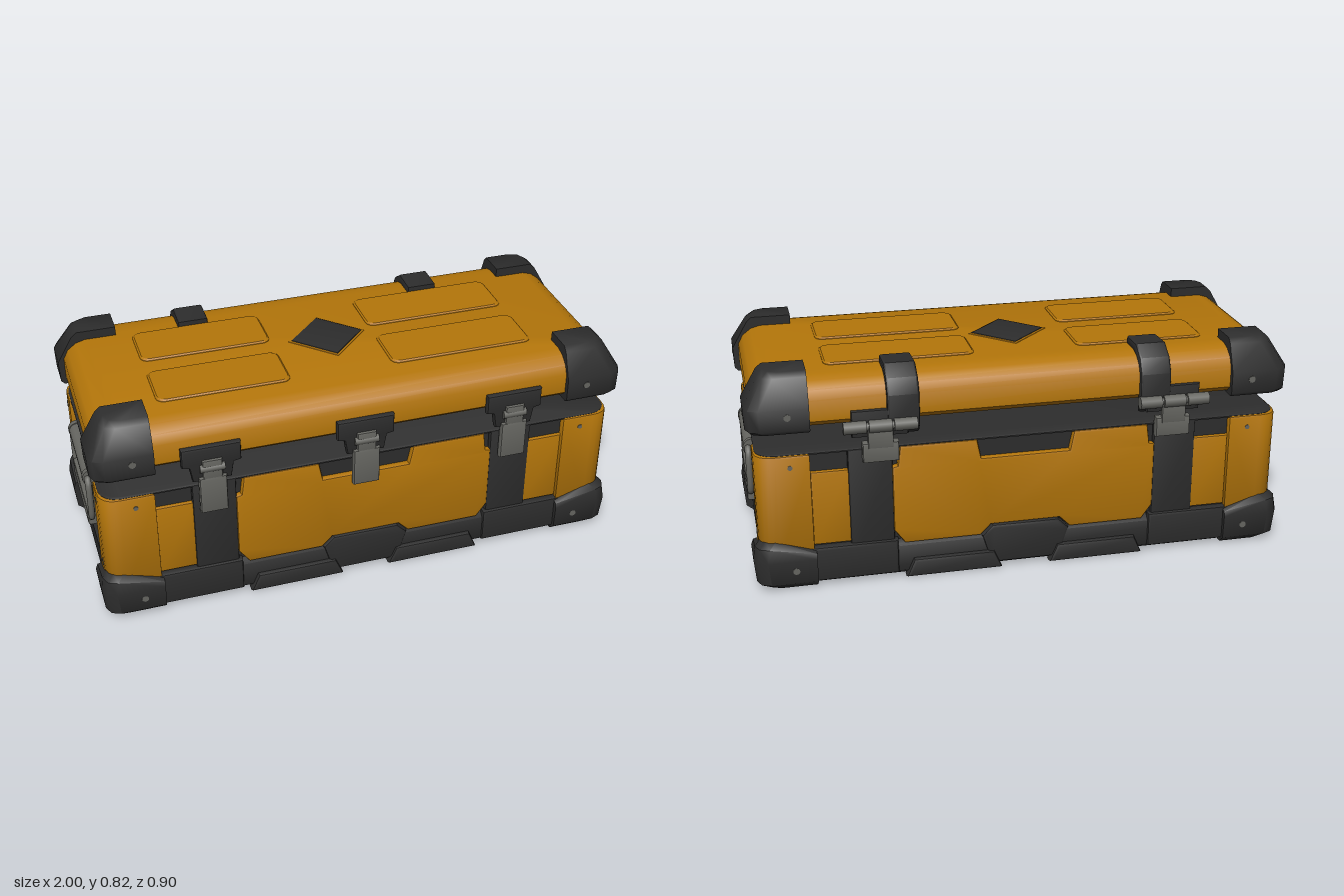
import * as THREE from 'three';
import { toCreasedNormals } from 'three/addons/utils/BufferGeometryUtils.js';

const material = (name, color) => {
  const m = new THREE.MeshStandardMaterial({ color });
  m.name = name;
  return m;
};

// Closed solid through rings of [x, y, z] points (first and last ring are capped)
function loft(rings, crease = 0.6) {
  const n = rings[0].length, idx = [];
  rings.slice(1).forEach((_, k) => {
    for (let i = 0; i < n; i++) {
      const a = k * n + i, b = k * n + (i + 1) % n;
      idx.push(a, a + n, b, b, a + n, b + n);
    }
  });
  const top = (rings.length - 1) * n;
  for (let i = 1; i < n - 1; i++) idx.push(0, i, i + 1, top, top + i + 1, top + i);
  const g = new THREE.BufferGeometry();
  g.setAttribute('position', new THREE.Float32BufferAttribute(rings.flat(2), 3));
  g.setIndex(idx);
  return toCreasedNormals(g, crease);
}

// Horizontal rounded rectangle ring
function roundRect(y, hx, hz, r, seg = 4) {
  const pts = [];
  [[-1, -1, 2], [1, -1, 3], [1, 1, 0], [-1, 1, 1]].forEach(([sx, sz, q]) => {
    for (let i = 0; i <= seg; i++) {
      const a = (q + i / seg) * Math.PI / 2;
      pts.push([sx * (hx - r) + r * Math.cos(a), y, sz * (hz - r) + r * Math.sin(a)]);
    }
  });
  return pts;
}

// Bevelled slab of a 2D outline, lying from z = 0 to z = depth
function slab(pts, depth, bevel = 0.008) {
  const shape = pts instanceof THREE.Shape ? pts : new THREE.Shape(pts.map(p => new THREE.Vector2(...p)));
  const g = new THREE.ExtrudeGeometry(shape, {
    depth: depth - 2 * bevel, bevelEnabled: true, bevelSize: bevel, bevelThickness: bevel,
    bevelOffset: -bevel, bevelSegments: 2, curveSegments: 6 });
  return toCreasedNormals(g.translate(0, 0, bevel), 0.6);
}
const rect = (x0, y0, x1, y1) => [[x0, y0], [x1, y0], [x1, y1], [x0, y1]];

// Outline given as [z, y], extruded along x around cx
const profile = (pts, width, cx) => slab(pts, width).rotateY(-Math.PI / 2).translate(cx + width / 2, 0, 0);

// Mirrored copy with the winding kept outward
function mirror(geo, sx, sz) {
  const g = geo.clone().scale(sx, 1, sz);
  if (sx * sz < 0) for (const a of Object.values(g.attributes)) {
    const s = a.itemSize;
    for (let i = 0; i < a.count; i += 3) for (let k = 0; k < s; k++) {
      const p = (i + 1) * s + k, t = a.array[p];
      a.array[p] = a.array[p + s];
      a.array[p + s] = t;
    }
  }
  return g;
}

// Corner guard ring: fixed inner edge, rounded outer corner
const guardRing = (y, x1, z1, c, yIn = y) => [
  [0.773, yIn, 0.262], [x1, yIn, 0.262], [x1, y, z1 - c], [x1 - c * 0.3, y, z1 - c * 0.3],
  [x1 - c, y, z1], [0.773, yIn, z1]];

export function createModel() {
  const root = new THREE.Group();
  root.name = 'storageCase';
  const yellow = material('yellowShell', 0xb4760a);
  const dark = material('darkRubber', 0x2d2d2d);
  const metal = material('greyMetal', 0x666661);
  const add = (name, geo, mat, parent = root) => {
    const m = new THREE.Mesh(geo, mat);
    m.name = name;
    parent.add(m);
    return m;
  };
  const corners = [[1, 1], [-1, 1], [-1, -1], [1, -1]];

  // Closed body, its dark top deck and the base skirt
  add('body', loft([roundRect(0.03, 0.935, 0.388, 0.05), roundRect(0.51, 0.935, 0.388, 0.05)]), dark);
  add('topDeck', loft([roundRect(0.516, 0.968, 0.407, 0.07), roundRect(0.521, 0.968, 0.407, 0.07),
    roundRect(0.525, 0.96, 0.40, 0.07)]), dark);
  add('base', loft([roundRect(0.008, 0.945, 0.39, 0.05), roundRect(0.025, 0.965, 0.41, 0.05),
    roundRect(0.125, 0.965, 0.41, 0.05), roundRect(0.145, 0.935, 0.388, 0.05)], 0.9), dark);

  // Lid shell with a dark lining underneath
  add('lid', loft([roundRect(0.618, 0.945, 0.385, 0.05), roundRect(0.640, 0.975, 0.41, 0.05),
    roundRect(0.715, 0.975, 0.41, 0.05), roundRect(0.75, 0.957, 0.392, 0.05),
    roundRect(0.774, 0.925, 0.36, 0.05), roundRect(0.784, 0.89, 0.325, 0.05)]), yellow);
  add('lidLining', loft([roundRect(0.613, 0.90, 0.34, 0.04), roundRect(0.62, 0.90, 0.34, 0.04)]), dark);

  // Raised lid panels and centre diamond
  for (const [x0, x1] of [[-0.72, -0.23], [0.15, 0.70]]) for (const z of [-0.14, 0.145]) {
    const w = (x1 - x0) / 2;
    const ring = (y, d) => roundRect(y, w - d, 0.105 - d, 0.03);
    add('lidPanel', loft([ring(0.775, 0), ring(0.786, 0.001), ring(0.791, 0.007)], 0.2)
      .translate((x0 + x1) / 2, 0, z), yellow);
  }
  const diamond = s => slab([[-s, 0], [0, -s], [s, 0], [0, s]], 0.02, 0.004).rotateX(-Math.PI / 2);
  add('diamondRim', diamond(0.15).translate(-0.02, 0.767, -0.015), yellow);
  add('diamondPlate', diamond(0.138).translate(-0.02, 0.77, -0.015), dark);

  // Corner guards, yellow corner posts and rivets
  const upperGuard = loft([guardRing(0.607, 0.982, 0.42, 0.05), guardRing(0.62, 0.995, 0.43, 0.05),
    guardRing(0.70, 0.998, 0.43, 0.05), guardRing(0.80, 0.94, 0.388, 0.05),
    guardRing(0.818, 0.92, 0.37, 0.05)], 0.8);
  const lowerGuard = loft([guardRing(0.002, 0.955, 0.405, 0.05), guardRing(0.03, 0.99, 0.435, 0.05),
    guardRing(0.12, 0.998, 0.44, 0.05), guardRing(0.172, 0.99, 0.435, 0.05, 0.14),
    guardRing(0.193, 0.965, 0.41, 0.05, 0.148)], 0.8);
  const postShape = new THREE.Shape();
  postShape.moveTo(0.78, 0.415).lineTo(0.78, 0.37).lineTo(0.91, 0.37).lineTo(0.91, 0.268)
    .lineTo(0.975, 0.268).lineTo(0.975, 0.34).quadraticCurveTo(0.975, 0.415, 0.90, 0.415).lineTo(0.78, 0.415);
  const post = slab(postShape, 0.40).rotateX(Math.PI / 2).translate(0, 0.52, 0);
  const rivet = (r, h) => new THREE.CylinderGeometry(r, r, h, 10);
  const guardRivet = rivet(0.013, 0.01).rotateX(Math.PI / 2), postRivet = rivet(0.009, 0.01).rotateX(Math.PI / 2);
  const endRivet = rivet(0.014, 0.008).rotateZ(Math.PI / 2);
  for (const [sx, sz] of corners) {
    add('upperCornerGuard', mirror(upperGuard, sx, sz), dark);
    add('lowerCornerGuard', mirror(lowerGuard, sx, sz), dark);
    add('cornerPost', mirror(post, sx, sz), yellow);
    for (const [y, z, geo] of [[0.08, 0.434, guardRivet], [0.67, 0.427, guardRivet], [0.475, 0.412, postRivet]])
      add('faceRivet', geo, metal).position.set(sx * 0.85, y, sz * z);
    for (const [y, x] of [[0.67, 0.995], [0.475, 0.973], [0.2, 0.973]])
      add('endRivet', endRivet, metal).position.set(sx * x, y, sz * 0.328);
  }

  // Front and back cladding
  const half = [[0.13, 0.175], [0.17, 0.135], [0.45, 0.135], [0.49, 0.19], [0.49, 0.44], [0.47, 0.445],
    [0.46, 0.52], [0.18, 0.52], [0.165, 0.445]];
  const panel = [...half, ...half.map(([x, y]) => [-x, y]).reverse()];
  for (const side of [1, -1]) {
    const face = new THREE.Group();
    face.name = side > 0 ? 'frontFace' : 'backFace';
    face.rotation.y = side > 0 ? 0 : Math.PI;
    root.add(face);
    add('centrePanel', slab(panel, 0.04, 0.01).translate(0, 0, 0.372), yellow, face);
    for (const s of [-1, 1]) {
      add('sidePanel', slab(rect(-0.07, 0.16, 0.07, 0.445), 0.03).translate(s * 0.71, 0, 0.373), yellow, face);
      add('bodyStrap', slab(rect(-0.08, 0.07, 0.08, 0.52), 0.03).translate(s * 0.567, 0, 0.378), dark, face);
      add('skirtStep', slab([[-0.18, 0], [0.18, 0], [0.15, 0.07], [-0.15, 0.07]], 0.05, 0.012)
        .translate(s * 0.27, 0.002, 0.378), dark, face);
      add('skirtBlock', slab([[-0.16, 0.02], [0.16, 0.02], [0.16, 0.155], [-0.16, 0.155]], 0.04, 0.012)
        .translate(s * 0.635, 0, 0.38), dark, face);
    }
    add('skirtBlockCentre', slab([[-0.13, 0.02], [0.13, 0.02], [0.165, 0.135], [0.125, 0.175],
      [-0.125, 0.175], [-0.165, 0.135]], 0.04, 0.012).translate(0, 0, 0.378), dark, face);
  }

  // Front latches
  for (const x of [-0.575, -0.01, 0.563]) {
    const latch = new THREE.Group();
    latch.name = 'latch';
    latch.position.x = x;
    root.add(latch);
    add('latchBracket', slab([[-0.07, 0.55], [0.07, 0.55], [0.08, 0.61], [0.107, 0.615], [0.107, 0.69],
      [-0.107, 0.69], [-0.107, 0.615], [-0.08, 0.61]], 0.035, 0.01).translate(0, 0, 0.397), dark, latch);
    add('latchTab', slab(rect(-0.05, 0.42, 0.05, 0.57), 0.034, 0.01).translate(0, 0, 0.412), metal, latch);
    add('latchLink', slab(rect(-0.036, 0.55, 0.036, 0.64), 0.03, 0.008).translate(0, 0, 0.413), metal, latch);
    add('latchPin', new THREE.CylinderGeometry(0.017, 0.017, 0.09, 10).rotateZ(Math.PI / 2)
      .translate(0, 0.605, 0.43), metal, latch);
  }

  // Back hinges and the straps that wrap over the lid
  const strap = [[-0.24, 0.775], [-0.24, 0.808], [-0.345, 0.812], [-0.40, 0.775], [-0.428, 0.72],
    [-0.428, 0.60], [-0.405, 0.57], [-0.395, 0.57], [-0.395, 0.72], [-0.33, 0.775]];
  for (const [strapX, x] of [[-0.48, -0.55], [0.445, 0.53]]) {
    add('lidStrap', profile(strap, 0.115, strapX), dark);
    add('hingeBracket', slab(rect(-0.1, 0.57, 0.1, 0.67), 0.03).translate(x, 0, -0.425), dark);
    for (const dx of [-0.09, 0, 0.09])
      add('hingeBarrel', new THREE.CylinderGeometry(0.023, 0.023, 0.082, 12).rotateZ(Math.PI / 2)
        .translate(x + dx, 0.613, -0.43), metal);
    add('hingePin', new THREE.CylinderGeometry(0.014, 0.014, 0.26, 10).rotateZ(Math.PI / 2)
      .translate(x, 0.613, -0.43), metal);
    add('hingeLink', slab(rect(-0.045, 0.53, 0.045, 0.61), 0.022, 0.005).translate(x, 0, -0.438), metal);
    add('hingePlate', slab(rect(-0.065, 0.475, 0.065, 0.55), 0.04, 0.008).translate(x, 0, -0.435), metal);
  }

  // Carry handles on both ends
  const V = (y, z) => new THREE.Vector3(0.982, y, z);
  for (const s of [1, -1]) {
    const end = new THREE.Group();
    end.name = s > 0 ? 'leftEnd' : 'rightEnd';
    end.rotation.y = s > 0 ? 0 : Math.PI;
    root.add(end);
    const plate = [[-0.19, 0.232], [0.20, 0.232], [0.235, 0.26], [0.215, 0.47], [0.19, 0.50],
      [-0.17, 0.50], [-0.20, 0.47], [-0.225, 0.26]];
    add('handlePlate', profile(plate, 0.04, 0.937), dark, end);
    add('handlePivot', new THREE.CylinderGeometry(0.03, 0.03, 0.33, 14).rotateX(Math.PI / 2)
      .translate(0.968, 0.463, 0), metal, end);
    add('handleGrip', profile(rect(-0.17, 0.255, 0.17, 0.325), 0.04, 0.976), metal, end);
    for (const d of [1, -1]) {
      const path = new THREE.CatmullRomCurve3([V(0.465, d * 0.15), V(0.462, d * 0.175), V(0.44, d * 0.19),
        V(0.32, d * 0.192), V(0.295, d * 0.18), V(0.288, d * 0.15)]);
      add('handleArm', new THREE.TubeGeometry(path, 24, 0.012, 8), metal, end);
      add('handleCollar', new THREE.CylinderGeometry(0.034, 0.034, 0.02, 14).rotateX(Math.PI / 2)
        .translate(0.966, 0.463, d * 0.16), metal, end);
    }
  }
  return root;
}
